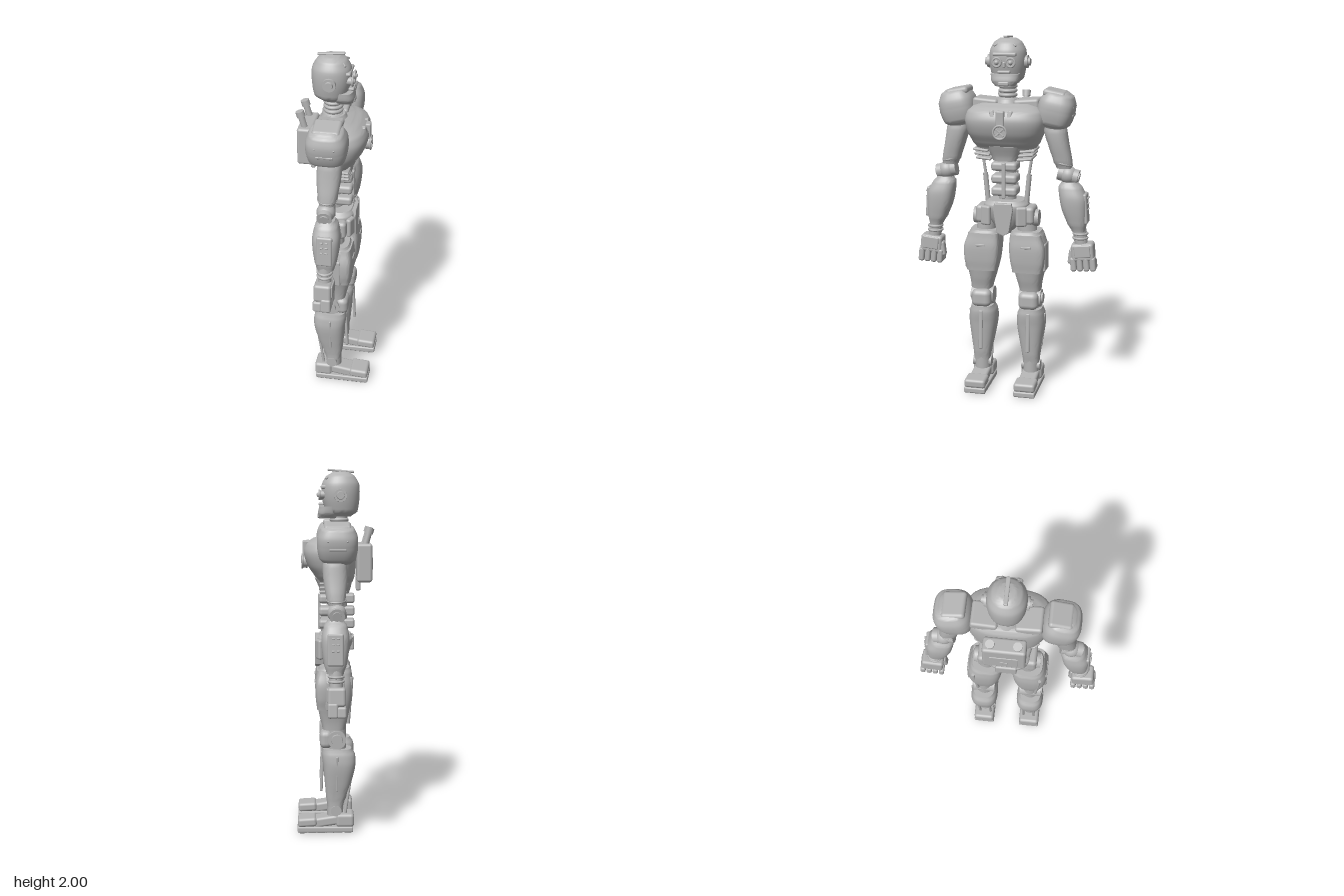
import * as THREE from 'three';
import { toCreasedNormals } from 'three/addons/utils/BufferGeometryUtils.js';
import { RoundedBoxGeometry } from 'three/addons/geometries/RoundedBoxGeometry.js';

const grey = new THREE.MeshStandardMaterial({ color: 0xb4b4b4 });
grey.name = 'plain grey';
const V = (x, y, z) => new THREE.Vector3(x, y, z);

export function createModel() {
  const model = new THREE.Group();
  model.name = 'robot';
  const body = new THREE.Group();
  body.name = 'body';
  body.rotation.y = Math.PI / 2; // built facing +z, turned to face +x
  model.add(body);

  const add = (name, geo, x = 0, y = 0, z = 0, rx = 0, ry = 0, rz = 0) => {
    const m = new THREE.Mesh(geo, grey);
    m.name = name;
    m.position.set(x, y, z);
    m.rotation.set(rx, ry, rz);
    body.add(m);
    return m;
  };
  // rounded box by centre and size
  const box = (name, x, y, z, w, h, d, r = 0.01, rx = 0, ry = 0, rz = 0) =>
    add(name, new RoundedBoxGeometry(w, h, d, 3, Math.min(r, w / 2.1, h / 2.1, d / 2.1)), x, y, z, rx, ry, rz);
  // cylinder between two points
  const rod = (name, a, b, r0, r1 = r0, seg = 20) => {
    const dir = b.clone().sub(a);
    const m = add(name, new THREE.CylinderGeometry(r1, r0, dir.length(), seg));
    m.position.copy(a).addScaledVector(dir, 0.5);
    m.quaternion.setFromUnitVectors(V(0, 1, 0), dir.normalize());
    return m;
  };
  // smooth body through sections [y, xMin, xMax, zMin, zMax], rounded-square outline
  const loft = (name, rows, s = 1, power = 2.6, sub = 5) => {
    const N = 36, pos = [], idx = [], rings = (rows.length - 1) * sub + 1;
    const cr = (a, b, c, d, t) => b + 0.5 * t * (c - a + t * (2 * a - 5 * b + 4 * c - d + t * (3 * (b - c) + d - a)));
    for (let k = 0; k < rings; k++) {
      const i = Math.min(Math.floor(k / sub), rows.length - 2), t = k / sub - i;
      const at = j => rows[Math.max(0, Math.min(rows.length - 1, j))];
      const [y, x0, x1, z0, z1] = rows[i].map((_, c) =>
        c ? cr(at(i - 1)[c], at(i)[c], at(i + 1)[c], at(i + 2)[c], t) : at(i)[0] + t * (at(i + 1)[0] - at(i)[0]));
      for (let n = 0; n < N; n++) {
        const a = n / N * Math.PI * 2, f = v => Math.sign(v) * Math.abs(v) ** (2 / power);
        pos.push(s * (x0 + x1) / 2 + f(Math.cos(a)) * (x1 - x0) / 2, y, (z0 + z1) / 2 + f(Math.sin(a)) * (z1 - z0) / 2);
        if (k < rings - 1) {
          const p = k * N + n, q = k * N + (n + 1) % N;
          idx.push(p, p + N, q, q, p + N, q + N);
        }
      }
    }
    const c = rings * N, first = rows[0], last = rows[rows.length - 1];
    for (const r of [first, last]) pos.push(s * (r[1] + r[2]) / 2, r[0], (r[3] + r[4]) / 2);
    for (let n = 0; n < N; n++) {
      const m = (n + 1) % N, top = (rings - 1) * N;
      idx.push(c, n, m, c + 1, top + m, top + n);
    }
    const g = new THREE.BufferGeometry();
    g.setAttribute('position', new THREE.Float32BufferAttribute(pos, 3));
    g.setIndex(idx);
    return add(name, toCreasedNormals(g, 0.7));
  };

  // HEAD
  loft('cranium', [[1.745, -0.06, 0.06, -0.09, 0.03], [1.77, -0.085, 0.085, -0.125, 0.05], [1.85, -0.1, 0.1, -0.137, 0.07],
    [1.92, -0.098, 0.098, -0.135, 0.07], [1.965, -0.075, 0.075, -0.11, 0.045], [1.985, -0.045, 0.045, -0.08, 0.01], [1.99, -0.01, 0.01, -0.04, -0.02]], 1, 2.2);
  loft('jaw', [[1.735, -0.055, 0.055, -0.01, 0.085], [1.76, -0.075, 0.075, -0.02, 0.092], [1.8, -0.08, 0.08, -0.02, 0.085]], 1, 2.8);
  box('chin', 0, 1.75, 0.08, 0.06, 0.025, 0.03, 0.008);
  box('mouth', 0, 1.812, 0.074, 0.07, 0.014, 0.03, 0.006);
  box('nose', 0, 1.85, 0.07, 0.014, 0.03, 0.02, 0.005);
  box('brow', 0, 1.905, 0.058, 0.13, 0.02, 0.035, 0.008);
  box('crest', 0, 1.992, -0.035, 0.022, 0.012, 0.145, 0.005, -0.08);
  rod('neck', V(0, 1.6, -0.02), V(0, 1.76, -0.03), 0.042);
  for (let i = 0; i < 4; i++)
    add('neckRing', new THREE.TorusGeometry(0.043, 0.01, 10, 28), 0, 1.655 + i * 0.024, -0.025, Math.PI / 2);
  rod('neckCollar', V(0, 1.63, -0.02), V(0, 1.66, -0.02), 0.075, 0.06, 28);

  // TORSO
  loft('chest', [[1.39, -0.165, 0.165, -0.1, 0.085], [1.42, -0.185, 0.185, -0.11, 0.11], [1.48, -0.21, 0.21, -0.115, 0.15],
    [1.55, -0.222, 0.222, -0.118, 0.17], [1.6, -0.21, 0.21, -0.115, 0.155], [1.625, -0.18, 0.18, -0.1, 0.12], [1.64, -0.14, 0.14, -0.085, 0.08]], 1, 2.8);
  loft('abdomenPlate', [[1.325, -0.07, 0.07, -0.08, 0.08], [1.36, -0.085, 0.085, -0.09, 0.088], [1.41, -0.1, 0.1, -0.1, 0.11]], 1, 3.5, 2);
  box('chestSpine', 0, 1.54, 0.163, 0.045, 0.15, 0.03, 0.008);
  rod('chestDisc', V(0, 1.5, 0.15), V(0, 1.5, 0.178), 0.038, 0.036, 28);
  add('chestDiscRim', new THREE.TorusGeometry(0.036, 0.006, 8, 32), 0, 1.5, 0.178);
  for (const a of [0.8, -0.8]) box('chestDiscBar', 0, 1.5, 0.18, 0.01, 0.06, 0.008, 0.003, 0, 0, a);
  for (let i = 0; i < 3; i++) {
    const y = 1.155 + i * 0.07;
    box('abdomenSegment', 0, y, 0.03, 0.145, 0.05, 0.115, 0.018);
    box('spineSegment', 0, y, -0.08, 0.09, 0.05, 0.06, 0.012);
  }
  rod('waistCore', V(0, 1.08, -0.02), V(0, 1.36, -0.02), 0.05);
  box('abdomenStrip', 0, 1.22, 0.085, 0.022, 0.2, 0.014, 0.005);

  // BACKPACK
  box('backpack', 0, 1.495, -0.162, 0.225, 0.21, 0.085, 0.015);
  box('backpackPanel', 0, 1.475, -0.203, 0.15, 0.1, 0.01, 0.004);
  box('backpackLatch', 0, 1.46, -0.207, 0.04, 0.02, 0.006, 0.002);
  box('backStrip', 0, 1.38, -0.13, 0.1, 0.08, 0.025, 0.008);

  // PELVIS
  loft('pelvis', [[0.91, -0.03, 0.03, -0.03, 0.04], [0.95, -0.065, 0.065, -0.06, 0.065], [1.02, -0.11, 0.11, -0.09, 0.09],
    [1.075, -0.125, 0.125, -0.105, 0.1], [1.1, -0.1, 0.1, -0.09, 0.085]], 1, 2.8);
  const wedge = new THREE.Shape([[-0.045, 1.09], [-0.052, 1.06], [-0.03, 0.93], [0, 0.915], [0.03, 0.93], [0.052, 1.06], [0.045, 1.09]].map(p => new THREE.Vector2(...p)));
  add('pelvisWedge', new THREE.ExtrudeGeometry(wedge, { depth: 0.04, bevelSize: 0.004, bevelThickness: 0.004, bevelSegments: 2 }), 0, 0, 0.065);
  box('backBelt', 0, 1.05, -0.095, 0.12, 0.08, 0.025, 0.01);

  // PAIRED PARTS
  for (const s of [-1, 1]) {
    // head sides
    rod('ear', V(s * 0.085, 1.86, -0.03), V(s * 0.112, 1.86, -0.03), 0.037, 0.035, 28);
    rod('earCap', V(s * 0.11, 1.86, -0.03), V(s * 0.125, 1.86, -0.03), 0.023, 0.02);
    rod('eye', V(s * 0.038, 1.863, 0.05), V(s * 0.038, 1.863, 0.087), 0.022);
    add('eyeRim', new THREE.TorusGeometry(0.023, 0.006, 8, 28), s * 0.038, 1.863, 0.083);
    add('eyeLens', new THREE.SphereGeometry(0.013, 16, 10), s * 0.038, 1.863, 0.086);
    rod('browRidge', V(s * 0.01, 1.978, 0.012), V(s * 0.06, 1.948, 0.048), 0.005, 0.005, 8);

    // torso sides
    box('yoke', s * 0.115, 1.635, -0.025, 0.14, 0.055, 0.14, 0.015, 0, 0, s * 0.08);
    box('collarPlate', s * 0.045, 1.58, 0.15, 0.025, 0.07, 0.025, 0.006, -0.2, 0, s * -0.25);
    for (let i = 0; i < 3; i++)
      box('rib', s * (0.13 - i * 0.008), 1.385 - i * 0.023, 0.01, 0.085, 0.014, 0.15, 0.006, 0, 0, s * 0.1);
    rod('waistPiston', V(s * 0.11, 1.08, -0.01), V(s * 0.125, 1.24, -0.01), 0.014);
    rod('waistPistonRod', V(s * 0.12, 1.22, -0.01), V(s * 0.15, 1.41, -0.01), 0.008);
    rod('exhaust', V(s * 0.07, 1.55, -0.155), V(s * 0.07, 1.67, -0.19), 0.017);
    rod('exhaustTip', V(s * 0.07, 1.655, -0.185), V(s * 0.07, 1.685, -0.194), 0.023);
    box('hipBlock', s * 0.135, 1.02, 0.005, 0.06, 0.1, 0.13, 0.02);
    rod('hipDisc', V(s * 0.15, 1.0, 0), V(s * 0.185, 1.0, 0), 0.05, 0.045, 28);
    box('hipPlate', s * 0.1, 1.02, 0.085, 0.06, 0.11, 0.03, 0.012, 0, s * 0.35);
    rod('hipJoint', V(s * 0.12, 0.9, 0), V(s * 0.11, 1.0, 0), 0.055);

    // shoulder
    const pad = loft('shoulderPad', [[-0.1, -0.06, 0.06, -0.075, 0.075], [-0.075, -0.088, 0.088, -0.097, 0.097], [-0.02, -0.1, 0.1, -0.108, 0.108],
      [0.04, -0.097, 0.097, -0.106, 0.106], [0.085, -0.076, 0.076, -0.086, 0.086], [0.1, -0.05, 0.05, -0.06, 0.06]], 1, 3);
    pad.position.set(s * 0.275, 1.61, -0.01);
    pad.rotation.z = s * -0.2;
    box('shoulderTop', s * 0.27, 1.696, -0.01, 0.125, 0.04, 0.145, 0.018, 0, 0, s * -0.2);
    box('shoulderSlot', s * 0.367, 1.58, -0.01, 0.012, 0.014, 0.09, 0.004, 0, 0, s * -0.2);
    for (const z of [-0.06, 0.04]) for (const y of [1.625, 1.67])
      add('shoulderBolt', new THREE.SphereGeometry(0.007, 10, 8), s * (y > 1.65 ? 0.352 : 0.37), y, z);
    rod('shoulderAxle', V(s * 0.16, 1.59, -0.01), V(s * 0.24, 1.59, -0.01), 0.06);

    // arm
    loft('upperArm', [[1.29, 0.28, 0.365, -0.045, 0.04], [1.32, 0.265, 0.366, -0.052, 0.05], [1.42, 0.233, 0.348, -0.062, 0.065],
      [1.5, 0.21, 0.335, -0.06, 0.068], [1.55, 0.215, 0.32, -0.05, 0.055]], s, 2.5);
    add('armBand', new THREE.TorusGeometry(0.049, 0.006, 8, 28), s * 0.317, 1.318, -0.002, Math.PI / 2, s * -0.25);
    add('elbowBall', new THREE.SphereGeometry(0.05, 24, 16), s * 0.345, 1.25, -0.005);
    rod('elbowAxle', V(s * 0.29, 1.262, -0.005), V(s * 0.4, 1.238, -0.005), 0.041, 0.041, 28);
    rod('elbowCap', V(s * 0.395, 1.239, -0.005), V(s * 0.407, 1.236, -0.005), 0.025);
    loft('forearm', [[0.94, 0.372, 0.445, -0.04, 0.05], [0.98, 0.347, 0.452, -0.055, 0.062], [1.06, 0.315, 0.455, -0.068, 0.074],
      [1.13, 0.3, 0.45, -0.07, 0.076], [1.19, 0.295, 0.42, -0.058, 0.062], [1.215, 0.31, 0.395, -0.04, 0.045]], s, 2.7);
    box('forearmPlate', s * 0.447, 1.07, 0.003, 0.022, 0.17, 0.085, 0.01, 0, 0, s * 0.06);
    for (let i = 0; i < 3; i++) for (const z of [-0.01, 0.015])
      box('forearmVent', s * 0.459, 1.065 + i * 0.032, z, 0.01, 0.008, 0.017, 0.003);
    rod('wrist', V(s * 0.41, 0.96, 0), V(s * 0.425, 0.85, 0), 0.038, 0.036, 24);
    for (const y of [0.9, 0.925])
      add('wristRing', new THREE.TorusGeometry(0.038, 0.007, 8, 28), s * 0.417, y, 0, Math.PI / 2);

    // fist
    box('palm', s * 0.435, 0.822, -0.002, 0.125, 0.1, 0.095, 0.016, 0, 0, s * 0.1);
    box('handBack', s * 0.435, 0.83, 0.044, 0.09, 0.07, 0.014, 0.006, 0, 0, s * 0.1);
    for (let i = 0; i < 4; i++) {
      const x = s * (0.385 + i * 0.036), y = 0.752 + i * 0.002;
      box('finger', x, y, 0.018, 0.033, 0.08, 0.055, 0.012, 0, 0, s * 0.1);
      box('fingertip', x, y - 0.01, -0.028, 0.031, 0.06, 0.05, 0.012, 0, 0, s * 0.1);
    }
    box('thumb', s * 0.372, 0.795, 0.015, 0.032, 0.085, 0.045, 0.012, 0, 0, s * -0.12);

    // thigh
    loft('thigh', [[0.585, 0.08, 0.2, -0.055, 0.07], [0.65, 0.063, 0.208, -0.075, 0.085], [0.74, 0.04, 0.228, -0.092, 0.1],
      [0.84, 0.028, 0.23, -0.098, 0.102], [0.91, 0.027, 0.21, -0.09, 0.095], [0.93, 0.035, 0.2, -0.08, 0.085]], s, 3);
    loft('thighGuard', [[0.7, 0.047, 0.215, 0.02, 0.1], [0.76, 0.036, 0.227, 0.02, 0.107], [0.84, 0.03, 0.228, 0.02, 0.109], [0.915, 0.034, 0.205, 0.02, 0.1]], s, 4);
    box('thighSlot', s * 0.13, 0.85, 0.108, 0.055, 0.012, 0.01, 0.003);
    box('thighSidePanel', s * 0.221, 0.78, 0.0, 0.02, 0.16, 0.1, 0.008);
    rod('thighCable', V(s * 0.17, 0.62, -0.072), V(s * 0.19, 0.88, -0.09), 0.009);

    // knee
    rod('kneeAxle', V(s * 0.075, 0.53, -0.01), V(s * 0.2, 0.53, -0.01), 0.05, 0.05, 28);
    rod('kneeCap', V(s * 0.195, 0.53, -0.01), V(s * 0.21, 0.53, -0.01), 0.033, 0.03);
    rod('kneeCore', V(s * 0.138, 0.44, -0.01), V(s * 0.138, 0.62, -0.01), 0.05);
    box('kneeGuard', s * 0.136, 0.527, 0.05, 0.112, 0.1, 0.07, 0.03);

    // shin
    loft('shin', [[0.145, 0.098, 0.192, -0.045, 0.043], [0.19, 0.092, 0.195, -0.06, 0.05], [0.28, 0.075, 0.208, -0.09, 0.058],
      [0.38, 0.06, 0.22, -0.113, 0.067], [0.44, 0.064, 0.215, -0.11, 0.074], [0.475, 0.078, 0.205, -0.09, 0.07]], s, 2.8);
    box('shinStrip', s * 0.137, 0.34, 0.073, 0.022, 0.23, 0.016, 0.006, -0.04);
    box('shinSidePanel', s * 0.208, 0.34, -0.01, 0.016, 0.2, 0.012, 0.005, 0, 0, s * -0.08);
    for (const x of [0.105, 0.17]) rod('calfRod', V(s * x, 0.1, -0.055), V(s * x, 0.34, -0.09), 0.008);

    // ankle and foot
    rod('ankle', V(s * 0.143, 0.07, 0), V(s * 0.143, 0.17, 0), 0.045);
    rod('ankleAxle', V(s * 0.09, 0.125, -0.005), V(s * 0.198, 0.125, -0.005), 0.03);
    box('sole', s * 0.143, 0.02, 0.055, 0.124, 0.032, 0.31, 0.008);
    for (let i = 0; i < 6; i++) box('soleTread', s * 0.143, 0.006, -0.07 + i * 0.05, 0.118, 0.012, 0.038, 0.003);
    box('heel', s * 0.143, 0.07, -0.055, 0.122, 0.075, 0.1, 0.018);
    box('instep', s * 0.143, 0.062, 0.05, 0.1, 0.055, 0.16, 0.015, 0.15);
    box('toe', s * 0.143, 0.06, 0.155, 0.122, 0.05, 0.105, 0.016, 0.06);
  }
  return model;
}
